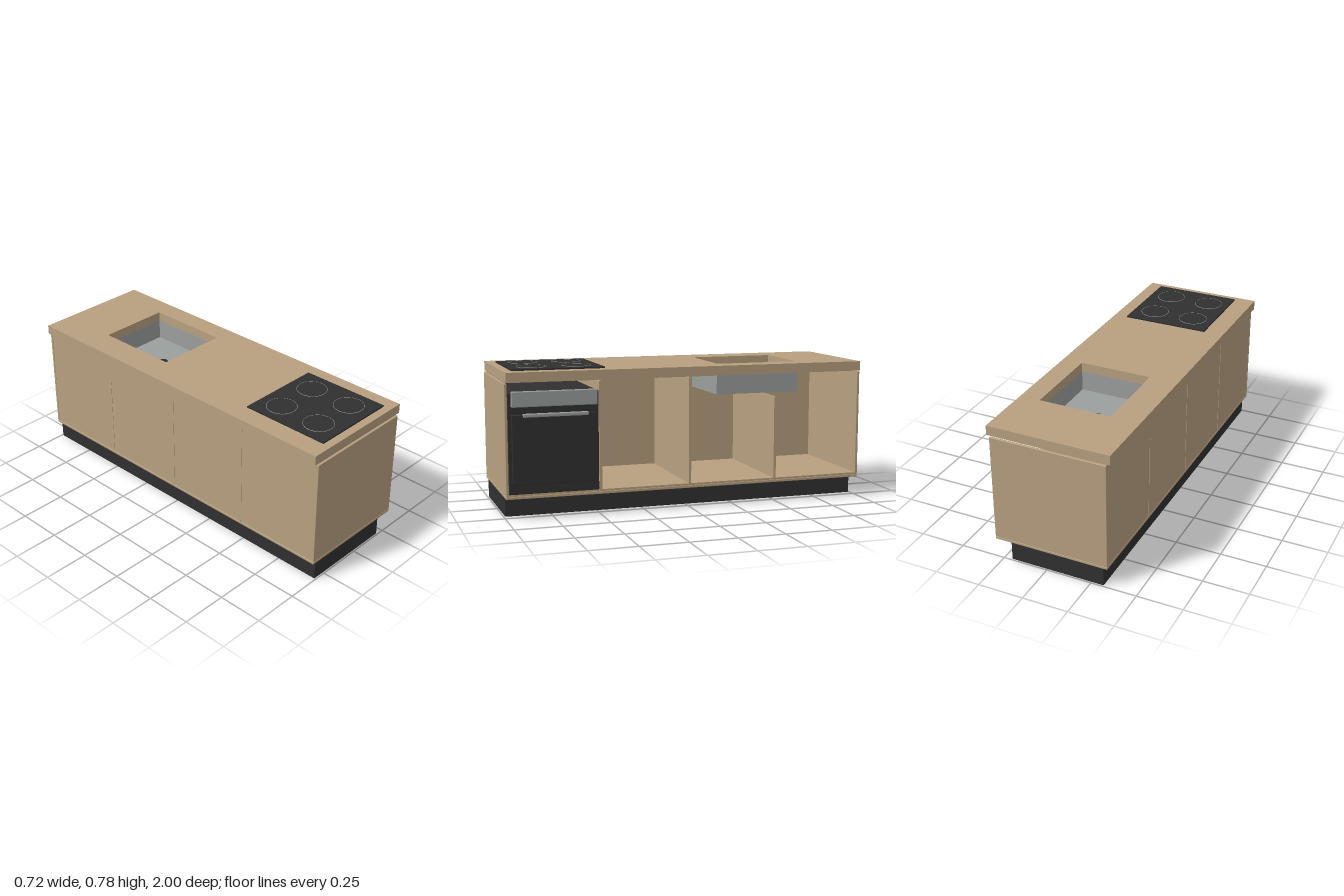
import * as THREE from 'three';
import { RoundedBoxGeometry } from 'three/addons/geometries/RoundedBoxGeometry.js';

const material = (name, color) => {
  const m = new THREE.MeshStandardMaterial({ color });
  m.name = name;
  return m;
};

export function createModel() {
  const wood = material('wood', 0xb8a080);
  const black = material('black', 0x303030);
  const steel = material('steel', 0x9b9f9e);
  const model = new THREE.Group();
  model.name = 'kitchenIsland';

  const add = (parent, name, geometry, mat) => {
    const mesh = new THREE.Mesh(geometry, mat);
    mesh.name = name;
    parent.add(mesh);
    return mesh;
  };
  const group = (name) => {
    const g = new THREE.Group();
    g.name = name;
    model.add(g);
    return g;
  };
  // Box given by its [min, max] range on each axis, with optional rounded edges
  const box = (parent, name, mat, [x0, x1], [y0, y1], [z0, z1], radius = 0) => {
    const size = [x1 - x0, y1 - y0, z1 - z0];
    const geometry = radius
      ? new RoundedBoxGeometry(...size, 2, radius)
      : new THREE.BoxGeometry(...size);
    const mesh = add(parent, name, geometry, mat);
    mesh.position.set((x0 + x1) / 2, (y0 + y1) / 2, (z0 + z1) / 2);
    return mesh;
  };

  // Recessed plinth
  box(model, 'plinth', black, [-0.318, 0.206], [0, 0.105], [-0.993, 0.993], 0.003);

  // Cabinet, open towards +x
  const cabinet = group('cabinet');
  const depth = [-0.342, 0.294];
  box(cabinet, 'bottomPanel', wood, depth, [0.107, 0.122], [-1, 1], 0.003);
  box(cabinet, 'innerFloor', wood, [-0.33, 0.292], [0.12, 0.132], [-0.986, 0.986]);
  for (const side of [-1, 1]) {
    const panel = box(cabinet, 'endPanel', wood, depth, [0.122, 0.707], [-0.0075, 0.0075], 0.003);
    panel.position.z = side * 0.9925;
  }
  box(cabinet, 'backPanel', wood, [-0.34, -0.327], [0.122, 0.707], [-0.986, 0.986]);
  for (const [z, top] of [[0.497, 0.705], [0.002, 0.705], [-0.493, 0.583]]) {
    box(cabinet, 'divider', wood, [-0.342, 0.292], [0.122, top], [z - 0.007, z + 0.007]);
  }

  // Countertop with the sink opening; shape y runs along -z
  const slab = new THREE.Shape();
  slab.moveTo(-0.361, -0.993).lineTo(0.312, -0.993).lineTo(0.312, 0.993).lineTo(-0.361, 0.993).closePath();
  const opening = new THREE.Path();
  opening.moveTo(-0.2, 0.187).lineTo(-0.2, 0.654).lineTo(0.2, 0.654).lineTo(0.2, 0.187).closePath();
  slab.holes.push(opening);
  const slabGeometry = new THREE.ExtrudeGeometry(slab, { depth: 0.052, bevelEnabled: false });
  slabGeometry.rotateX(-Math.PI / 2);
  add(model, 'countertop', slabGeometry, wood).position.y = 0.713;

  // Sink basin below the opening
  const sink = group('sink');
  const sinkY = [0.597, 0.714];
  box(sink, 'sinkFloor', steel, [-0.206, 0.206], [0.597, 0.603], [-0.66, -0.181]);
  for (const side of [-1, 1]) {
    box(sink, 'sinkSide', steel, [-0.003, 0.003], sinkY, [-0.66, -0.181]).position.x = side * 0.203;
    box(sink, 'sinkEnd', steel, [-0.206, 0.206], sinkY, [-0.003, 0.003]).position.z = -0.4205 + side * 0.2365;
  }
  add(sink, 'drain', new THREE.CylinderGeometry(0.028, 0.028, 0.006, 32), black).position.set(0, 0.602, -0.42);

  // Hob with four thin cooking-zone rings
  const hob = group('hob');
  box(hob, 'hobGlass', black, [-0.25, 0.234], [0.764, 0.773], [0.454, 0.949]);
  for (const x of [-0.13, 0.11]) {
    for (const z of [0.581, 0.821]) {
      add(hob, 'cookingZone', new THREE.CylinderGeometry(0.079, 0.079, 0.003, 48), black).position.set(x, 0.7735, z);
      const ring = add(hob, 'cookingRing', new THREE.TorusGeometry(0.079, 0.0013, 6, 48), steel);
      ring.rotation.x = Math.PI / 2;
      ring.position.set(x, 0.7743, z);
    }
  }

  // Built-in oven
  const oven = group('oven');
  box(oven, 'ovenBody', black, [-0.25, 0.295], [0.132, 0.657], [0.507, 0.984], 0.003);
  box(oven, 'ovenDoor', black, [0.295, 0.316], [0.184, 0.549], [0.528, 0.967], 0.004);
  box(oven, 'controlPanel', steel, [0.306, 0.328], [0.588, 0.669], [0.52, 0.97], 0.005);
  box(oven, 'ovenHandle', steel, [0.338, 0.36], [0.539, 0.558], [0.575, 0.915], 0.005);

  return model;
}
